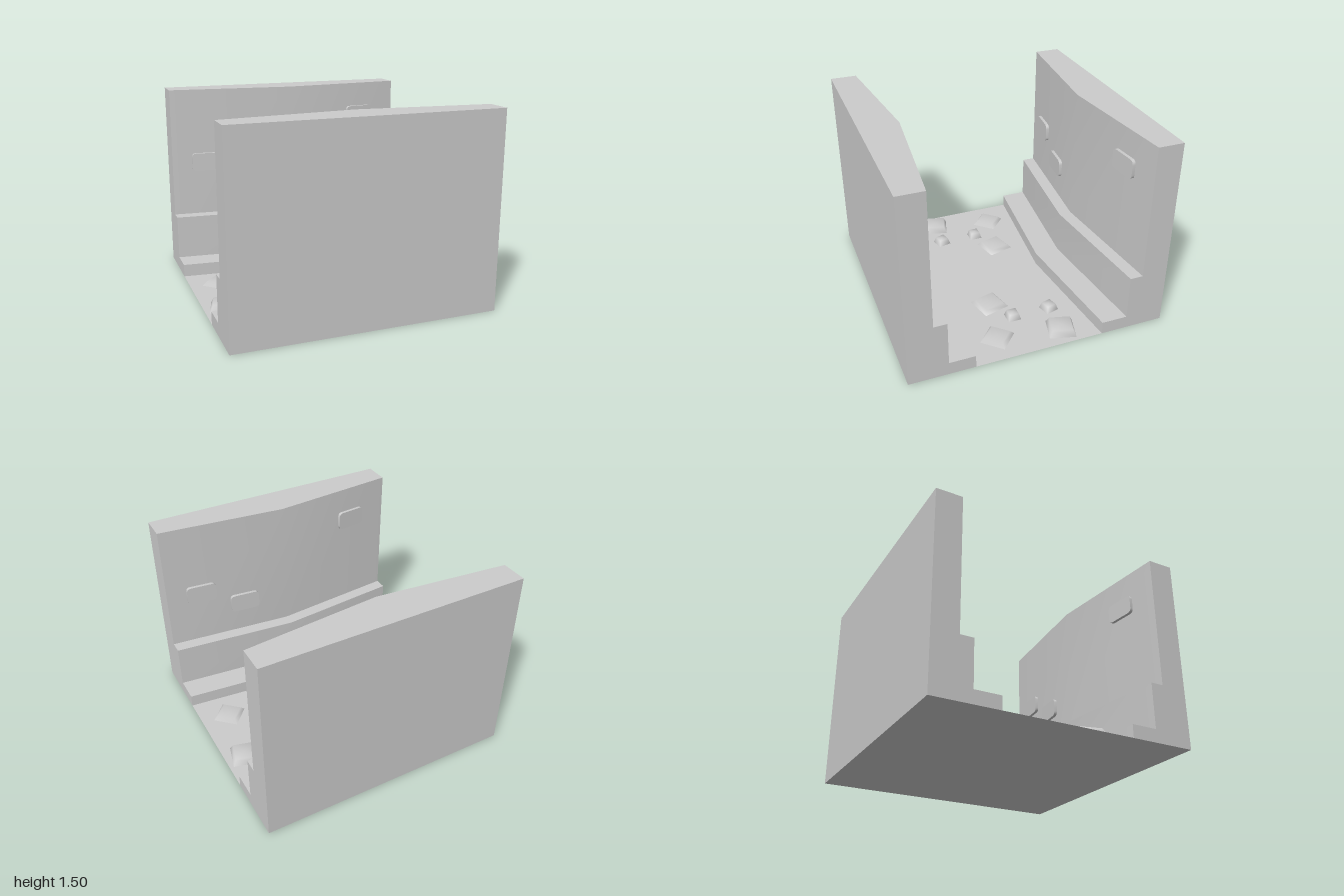
import * as THREE from 'three';
import { toCreasedNormals } from 'three/addons/utils/BufferGeometryUtils.js';

const grey = new THREE.MeshStandardMaterial({ color: 0xcccccc });
const floorGrey = new THREE.MeshStandardMaterial({ color: 0xcccccc, side: THREE.DoubleSide });

function add(parent, name, geometry, material = grey) {
  const mesh = new THREE.Mesh(geometry, material);
  mesh.name = name;
  parent.add(mesh);
  return mesh;
}

// Stepped wall section swept along x, its inner face bulging inwards at mid length
function wallGeometry() {
  const section = [[1, 0], [1, 1.5], [0.8, 1.5], [0.8, 0.45], [0.7, 0.45], [0.7, 0.1], [0.5, 0.1], [0.5, 0]];
  const shape = new THREE.Shape(section.map(([z, y]) => new THREE.Vector2(-z, y)));
  const geo = new THREE.ExtrudeGeometry(shape, { depth: 2, steps: 2, bevelEnabled: false });
  geo.translate(0, 0, -1).rotateY(Math.PI / 2);
  const p = geo.attributes.position;
  for (let i = 0; i < p.count; i++) {
    if (Math.abs(p.getX(i)) < 0.01 && p.getZ(i) < 0.9) p.setZ(i, p.getZ(i) - 0.1);
  }
  return toCreasedNormals(geo, 0.6);
}

// Thin brick with rounded corners, half sunk into the wall
function brickGeometry(w = 0.24, h = 0.15, r = 0.035, depth = 0.05) {
  const x = w / 2, y = h / 2;
  const s = new THREE.Shape();
  s.moveTo(-x + r, -y);
  s.lineTo(x - r, -y).quadraticCurveTo(x, -y, x, -y + r);
  s.lineTo(x, y - r).quadraticCurveTo(x, y, x - r, y);
  s.lineTo(-x + r, y).quadraticCurveTo(-x, y, -x, y - r);
  s.lineTo(-x, -y + r).quadraticCurveTo(-x, -y, -x + r, -y);
  const geo = new THREE.ExtrudeGeometry(s, { depth, bevelEnabled: false, curveSegments: 4 });
  return toCreasedNormals(geo.translate(0, 0, -depth / 2), 0.6);
}

// Four-sided, softly shaded paving stone
function stoneGeometry(radius, height, top) {
  const profile = [[radius, 0], [radius * top, height], [0, height]];
  return new THREE.LatheGeometry(profile.map(([x, y]) => new THREE.Vector2(x, y)), 4);
}

// One side of the passage: wall, bricks and the stones that go with it
function createHalf() {
  const half = new THREE.Group();
  add(half, 'wall', wallGeometry());

  const brick = brickGeometry();
  for (const [x, y] of [[0.365, 0.725], [0.72, 0.895], [-0.66, 1.225]]) {
    const mesh = add(half, 'wallBrick', brick);
    mesh.position.set(x, y, 0.7 + 0.1 * Math.abs(x));
    mesh.rotation.y = -Math.sign(x) * Math.atan(0.1);
  }

  // x, z, radius, height, top ratio, turn in degrees
  const stones = [
    [0.768, 0.25, 0.138, 0.03, 0.74, 2],
    [0.375, 0.165, 0.15, 0.03, 0.74, 60],
    [-0.845, 0.235, 0.143, 0.05, 0.78, 30],
    [0.585, 0.053, 0.072, 0.05, 0.72, 45],
    [-0.588, 0.25, 0.075, 0.05, 0.72, 60],
  ];
  for (const [x, z, r, h, top, turn] of stones) {
    const mesh = add(half, 'floorStone', stoneGeometry(r, h, top));
    mesh.position.set(x, 0, z);
    mesh.rotation.y = THREE.MathUtils.degToRad(turn);
  }
  return half;
}

export function createModel() {
  const model = new THREE.Group();
  model.name = 'passage';

  // Floor between the wall feet, bent to follow them
  const foot = [[-1, -0.5], [0, -0.4], [1, -0.5], [1, 0.5], [0, 0.4], [-1, 0.5]];
  const floor = new THREE.ShapeGeometry(new THREE.Shape(foot.map(([x, z]) => new THREE.Vector2(x, z))));
  add(model, 'floor', floor.rotateX(-Math.PI / 2), floorGrey);

  // Both sides are the same, turned half a circle
  const front = createHalf();
  front.name = 'frontSide';
  const back = createHalf();
  back.name = 'backSide';
  back.rotation.y = Math.PI;
  model.add(front, back);
  return model;
}
